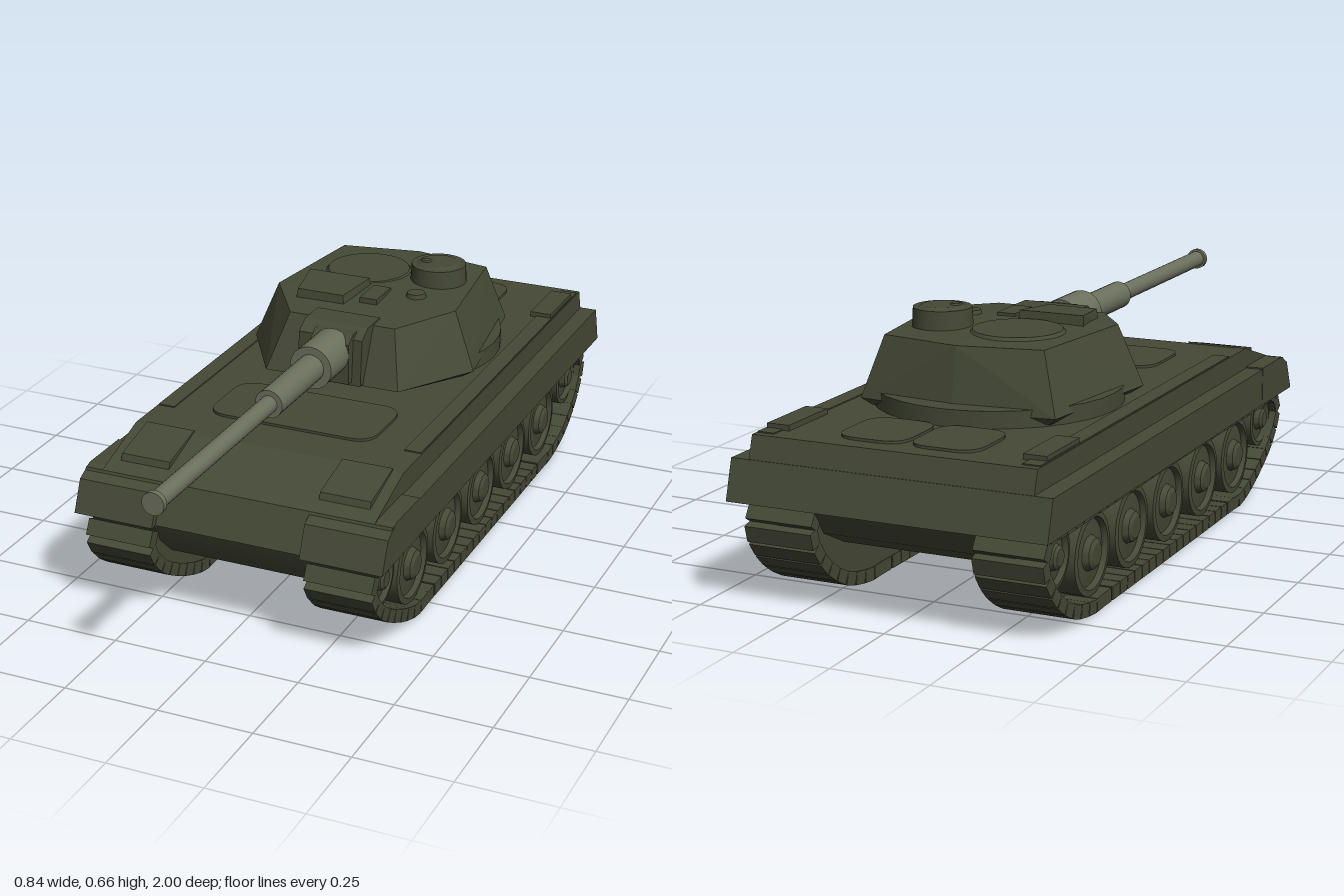
import * as THREE from 'three';
import { mergeGeometries, toCreasedNormals } from 'three/addons/utils/BufferGeometryUtils.js';
import { ConvexGeometry } from 'three/addons/geometries/ConvexGeometry.js';

const olive = new THREE.MeshStandardMaterial({ color: 0x454936 });
olive.name = 'dark olive';
const gunGrey = new THREE.MeshStandardMaterial({ color: 0x6c705d });
gunGrey.name = 'grey olive';

const v2 = (p) => new THREE.Vector2(p[0], p[1]);

// Side profile of [z, y] points, extruded across x from x0 to x1
function slab(profile, x0, x1) {
  const shape = new THREE.Shape(profile.map(v2));
  const geo = new THREE.ExtrudeGeometry(shape, { depth: x1 - x0, bevelEnabled: false });
  return geo.rotateY(-Math.PI / 2).translate(x1, 0, 0);
}

// Flat plate with rounded corners lying on height y
function plate(w, d, r, h, x, y, z) {
  const s = new THREE.Shape(), a = w / 2, b = d / 2;
  s.moveTo(-a + r, -b);
  s.lineTo(a - r, -b).quadraticCurveTo(a, -b, a, -b + r);
  s.lineTo(a, b - r).quadraticCurveTo(a, b, a - r, b);
  s.lineTo(-a + r, b).quadraticCurveTo(-a, b, -a, b - r);
  s.lineTo(-a, -b + r).quadraticCurveTo(-a, -b, -a + r, -b);
  const geo = new THREE.ExtrudeGeometry(s, { depth: h, bevelEnabled: false, curveSegments: 6 });
  return geo.rotateX(-Math.PI / 2).translate(x, y, z);
}

function box(w, h, d, x, y, z) {
  return new THREE.BoxGeometry(w, h, d).translate(x, y, z);
}

function disc(rTop, rBottom, h, x, y, z) {
  return new THREE.CylinderGeometry(rTop, rBottom, h, 32).translate(x, y + h / 2, z);
}

// Convex solid from points [x, y, z], mirrored in x
function mirroredHull(points) {
  const all = [];
  for (const [x, y, z] of points) {
    all.push(new THREE.Vector3(x, y, z));
    if (x !== 0) all.push(new THREE.Vector3(-x, y, z));
  }
  return new ConvexGeometry(all);
}

export function createModel() {
  const model = new THREE.Group();
  const add = (parent, name, geo, mat = olive) => {
    const mesh = new THREE.Mesh(geo, mat);
    mesh.name = name;
    parent.add(mesh);
    return mesh;
  };
  const group = (name) => {
    const g = new THREE.Group();
    g.name = name;
    model.add(g);
    return g;
  };

  // Hull, with a belly that curves up at both ends
  const hull = group('hull');
  const belly = slab([[0.6, 0.27], [0.57, 0.2], [0.51, 0.145], [0.4, 0.11],
    [-0.65, 0.11], [-0.8, 0.135], [-0.9, 0.185], [-0.96, 0.27]], -0.212, 0.212);
  add(hull, 'lowerHull', toCreasedNormals(belly, 0.7));
  add(hull, 'skirtDeck', slab([[0.615, 0.265], [0.57, 0.365], [-0.97, 0.365], [-1, 0.265]], -0.417, 0.417));
  add(hull, 'upperDeck', slab([[0.57, 0.365], [0.39, 0.422], [-0.95, 0.422], [-0.968, 0.365]], -0.37, 0.37));
  for (const [x, z, w] of [[-0.1, -0.8, 0.18], [0.09, -0.8, 0.18], [0, 0.16, 0.46]])
    add(hull, 'deckHatch', plate(w, w > 0.3 ? 0.22 : 0.2, 0.06, 0.007, x, 0.422, z));
  for (const s of [-1, 1]) {
    const span = (a, b) => (s > 0 ? [a, b] : [-b, -a]);
    add(hull, 'frontFender', slab([[0.635, 0.265], [0.6, 0.345], [0.55, 0.369], [0.4, 0.369], [0.4, 0.265]], ...span(0.2, 0.418)));
    add(hull, 'fenderBox', slab([[0.53, 0.37], [0.52, 0.396], [0.385, 0.427], [0.385, 0.37]], ...span(0.205, 0.34)));
    add(hull, 'rearBox', box(0.06, 0.02, 0.18, s * 0.335, 0.426, -0.8));
    add(hull, 'deckStrip', box(0.045, 0.006, 1.2, s * 0.345, 0.422, -0.33));
  }

  // Track loop
  const path = new THREE.CatmullRomCurve3([
    [0.33, 0.018], [0.25, 0.017], [-0.6, 0.017], [-0.69, 0.018], [-0.8, 0.045], [-0.9, 0.115],
    [-0.945, 0.195], [-0.91, 0.25], [-0.8, 0.255], [0.45, 0.255], [0.575, 0.25], [0.612, 0.2],
    [0.565, 0.13], [0.45, 0.06],
  ].map(([z, y]) => new THREE.Vector3(0, y, z)), true, 'centripetal');
  const loop = path.getSpacedPoints(100).slice(0, -1).map((p) => [p.z, p.y]);
  const shoes = [], count = 72;
  for (let i = 0; i < count; i++) {
    const p = path.getPointAt(i / count), t = path.getTangentAt(i / count);
    shoes.push(new THREE.BoxGeometry(0.18, 0.034, 0.043)
      .rotateX(Math.atan2(-t.y, t.z)).translate(0, p.y, p.z));
  }
  const shoeGeo = mergeGeometries(shoes);

  // Wheels with raised rim, recessed dish and hub cap
  const wheelGeo = (r) => toCreasedNormals(new THREE.LatheGeometry([
    [0, 0], [r, 0], [r, 0.15], [r * 0.85, 0.152], [r * 0.8, 0.138],
    [r * 0.42, 0.142], [r * 0.36, 0.157], [r * 0.26, 0.163], [0, 0.163],
  ].map(v2), 32), 0.5);
  const wheels = [0.32, 0.08, -0.165, -0.405, -0.645].map((z) => [z, 0.138, 0.104]);
  wheels.push([0.52, 0.195, 0.077], [-0.855, 0.19, 0.08]);
  for (const s of [-1, 1]) {
    const side = group(s > 0 ? 'leftTrack' : 'rightTrack');
    add(side, 'trackShoes', shoeGeo).position.x = s * 0.3;
    // Solid wall behind the wheels
    add(side, 'wheelWall', slab(loop, -0.05, 0.05)).position.x = s * 0.262;
    for (const [z, y, r] of wheels) {
      const geo = wheelGeo(r).rotateZ(-s * Math.PI / 2);
      add(side, r > 0.09 ? 'roadWheel' : 'endWheel', geo).position.set(s * 0.22, y, z);
    }
  }

  // Turret
  const turret = group('turret');
  add(turret, 'turretRing', disc(0.315, 0.315, 0.045, 0, 0.42, -0.385));
  add(turret, 'turretBody', mirroredHull([
    [0.17, 0.427, -0.05], [0.29, 0.427, -0.22], [0.24, 0.427, -0.6], [0, 0.427, -0.62],
    [0.19, 0.447, -0.005], [0.32, 0.447, -0.215], [0.262, 0.447, -0.62], [0, 0.447, -0.648],
    [0.15, 0.592, -0.075], [0.258, 0.602, -0.235], [0.215, 0.602, -0.58], [0, 0.602, -0.62],
    [0, 0.61, -0.3],
  ]));
  add(turret, 'mantletFrame', slab([[0.01, 0.45], [0, 0.575], [-0.04, 0.598], [-0.12, 0.598], [-0.12, 0.45]], -0.09, 0.09));
  add(turret, 'mantlet', slab([[0.03, 0.46], [0.03, 0.57], [0, 0.59], [-0.05, 0.59], [-0.05, 0.46]], -0.045, 0.065));
  add(turret, 'roofPlate', disc(0.112, 0.12, 0.01, -0.07, 0.602, -0.42));
  const hatch = mirroredHull([[0.07, 0.59, -0.165], [0.09, 0.59, -0.305],
    [0.066, 0.622, -0.17], [0.088, 0.63, -0.3]]);
  add(turret, 'gunnerHatch', hatch).position.x = -0.105;
  add(turret, 'cupola', disc(0.074, 0.077, 0.055, 0.132, 0.597, -0.43));
  add(turret, 'cupolaLid', disc(0.05, 0.06, 0.005, 0.132, 0.652, -0.43));
  add(turret, 'cupolaKnob', disc(0.012, 0.018, 0.008, 0.1, 0.653, -0.42));
  add(turret, 'periscope', disc(0.024, 0.03, 0.02, 0.125, 0.597, -0.285));
  add(turret, 'roofBlock', box(0.05, 0.015, 0.1, 0.025, 0.609, -0.24));

  // Gun: stepped sections [name, radius, start z, end z]
  const gun = group('gun');
  const sections = [['gunSleeve', 0.058, 0, 0.14], ['gunJacket', 0.037, 0.13, 0.39],
    ['barrel', 0.023, 0.38, 0.995], ['muzzleRing', 0.029, 0.985, 1]];
  for (const [name, r, z0, z1] of sections) {
    const geo = new THREE.CylinderGeometry(r, r, z1 - z0, 32).rotateX(Math.PI / 2);
    add(gun, name, geo, gunGrey).position.set(0.007, 0.54, (z0 + z1) / 2);
  }
  return model;
}
